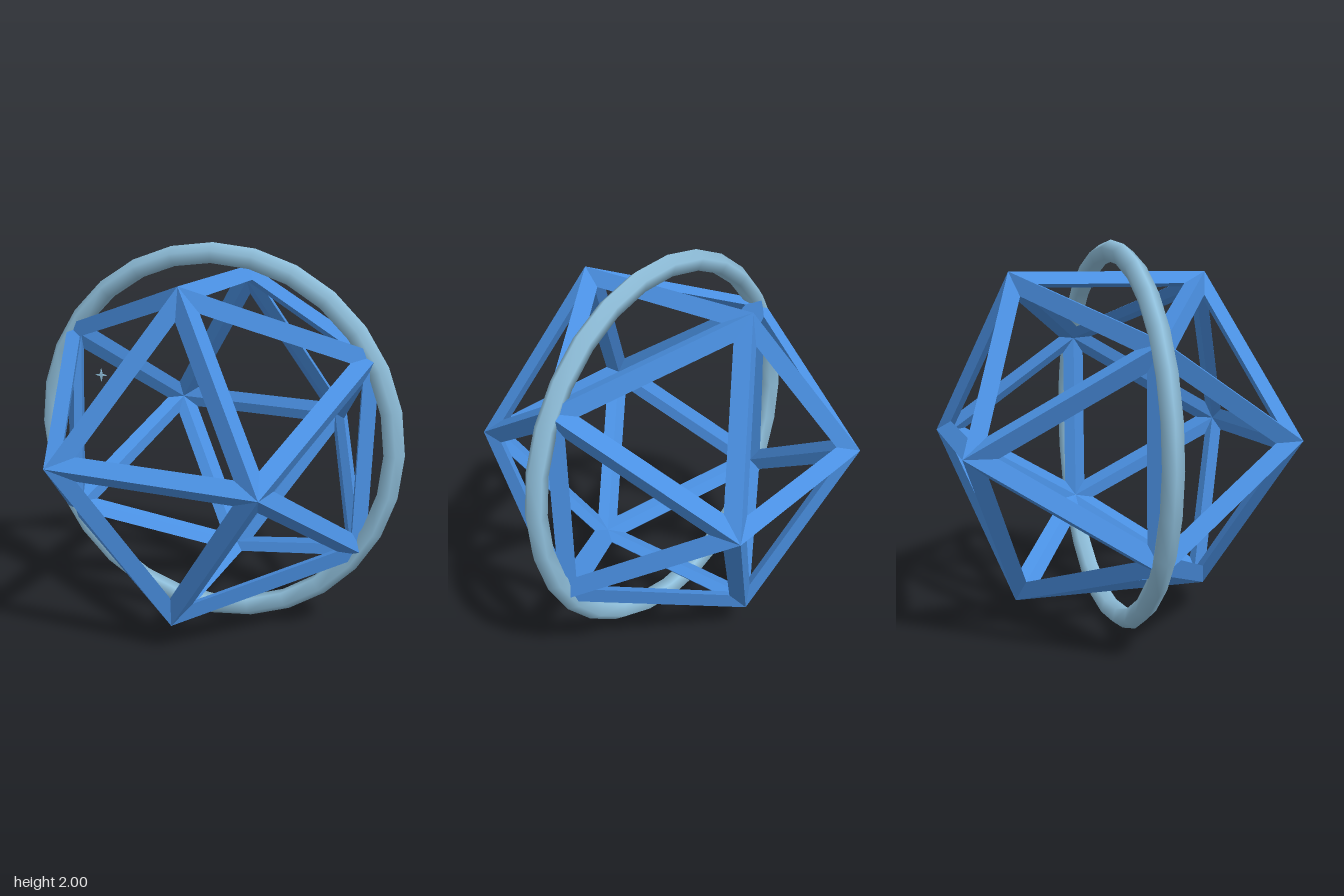
import * as THREE from 'three';

const frameBlue = new THREE.MeshStandardMaterial({ color: 0x4a90e2 });
frameBlue.name = 'frame blue';
frameBlue.flatShading = true;
const ringBlue = new THREE.MeshStandardMaterial({ color: 0x90c0dc });
ringBlue.name = 'pale ring blue';

// Open icosahedron: every face becomes a mitred triangular opening
// made of an outer bevel and an inner bevel.
function latticeGeometry() {
  const outerRadius = 0.99, baseRadius = 0.943, innerRadius = 0.896, insetScale = 0.777;
  const solid = new THREE.IcosahedronGeometry(1).rotateY(Math.PI / 2);
  const pos = solid.attributes.position;
  const points = [];
  const quad = (a, b, c, d) => [a, b, c, a, c, d].forEach(p => points.push(p.x, p.y, p.z));

  for (let f = 0; f < pos.count; f += 3) {
    const corners = [0, 1, 2].map(i => new THREE.Vector3().fromBufferAttribute(pos, f + i));
    const centre = corners.reduce((s, v) => s.add(v), new THREE.Vector3()).multiplyScalar(baseRadius / 3);
    const outer = corners.map(v => v.clone().multiplyScalar(outerRadius));
    const inner = corners.map(v => v.clone().multiplyScalar(innerRadius));
    const inset = corners.map(v => v.clone().multiplyScalar(baseRadius).sub(centre).multiplyScalar(insetScale).add(centre));
    for (let i = 0; i < 3; i++) {
      const j = (i + 1) % 3;
      quad(outer[i], outer[j], inset[j], inset[i]);
      quad(inset[i], inset[j], inner[j], inner[i]);
    }
  }
  const g = new THREE.BufferGeometry();
  g.setAttribute('position', new THREE.Float32BufferAttribute(points, 3));
  g.computeVertexNormals();
  return g;
}

// Thin four-pointed star
function sparkGeometry() {
  const shape = new THREE.Shape();
  for (let i = 0; i < 8; i++) {
    const r = i % 2 ? 0.009 : 0.034, a = i * Math.PI / 4;
    shape[i ? 'lineTo' : 'moveTo'](r * Math.cos(a), r * Math.sin(a));
  }
  shape.closePath();
  return new THREE.ExtrudeGeometry(shape, { depth: 0.008, bevelEnabled: false }).translate(0, 0, -0.004);
}

export function createModel() {
  const model = new THREE.Group();
  model.name = 'ringedLattice';
  const add = (name, geometry, material, x, y) => {
    const mesh = new THREE.Mesh(geometry, material);
    mesh.name = name;
    mesh.position.set(x, y, 0);
    model.add(mesh);
    return mesh;
  };

  // Icosahedral strut frame, turned slightly about the front axis
  add('lattice', latticeGeometry(), frameBlue, 0, 1).rotation.z = -0.03;

  // Upright ring around the frame
  add('ring', new THREE.TorusGeometry(0.945, 0.055, 5, 28), ringBlue, 0, 1);

  // Small spark floating inside the frame
  add('spark', sparkGeometry(), ringBlue, -0.636, 1.283);

  return model;
}
